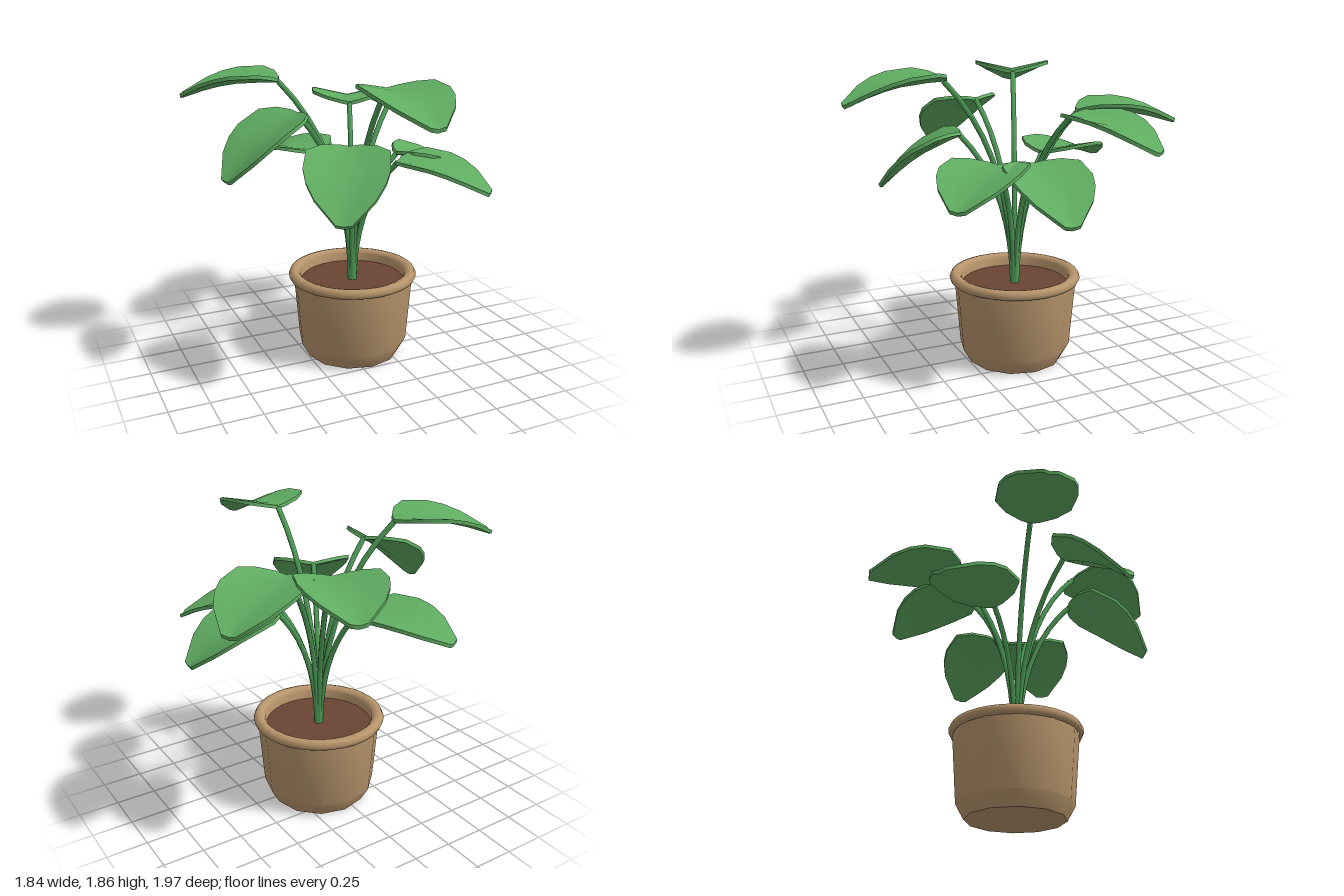
import * as THREE from 'three';
import { toCreasedNormals } from 'three/addons/utils/BufferGeometryUtils.js';

const material = (name, color) => {
  const m = new THREE.MeshStandardMaterial({ color });
  m.name = name;
  return m;
};

function addMesh(parent, name, geometry, mat) {
  const mesh = new THREE.Mesh(geometry, mat);
  mesh.name = name;
  parent.add(mesh);
  return mesh;
}

const lathe = (pts, sides) =>
  new THREE.LatheGeometry(pts.map(([r, y]) => new THREE.Vector2(r, y)), sides);

// Broad leaf lofted along +z: folded up along the midrib and gently arched.
const LEAF_LENGTH = 0.6;
function leafGeometry() {
  const rows = [[0, 0.06], [0.03, 0.16], [0.1, 0.24], [0.26, 0.245], [0.36, 0.22], [0.46, 0.17], [0.6, 0.045]];
  const across = [-1, -0.5, 0, 0.5, 1];
  const n = across.length * 2;
  const pos = [], idx = [];
  for (const [z, half] of rows) {
    const arch = 0.035 * Math.sin((Math.PI * z) / LEAF_LENGTH);
    const point = (u, drop) => {
      const x = u * half;
      pos.push(x, arch + 0.22 * Math.abs(x) - drop, z);
    };
    across.forEach((u) => point(u, 0));
    [...across].reverse().forEach((u) => point(u, 0.022));
  }
  for (let i = 0; i < rows.length - 1; i++) {
    for (let j = 0; j < n; j++) {
      const a = i * n + j, d = i * n + ((j + 1) % n);
      idx.push(a, a + n, d + n, a, d + n, d);
    }
  }
  // End caps, as strips between the upper and lower points
  const end = (rows.length - 1) * n;
  for (let j = 0; j < across.length - 1; j++) {
    const k = n - 1 - j;
    idx.push(j, j + 1, k - 1, j, k - 1, k);
    idx.push(end + j, end + k - 1, end + j + 1, end + j, end + k, end + k - 1);
  }
  const g = new THREE.BufferGeometry();
  g.setAttribute('position', new THREE.Float32BufferAttribute(pos, 3));
  g.setIndex(idx);
  return toCreasedNormals(g, 0.9);
}

export function createModel() {
  const clay = material('clay', 0xb8956c);
  const earth = material('soil', 0x6b4433);
  const leafGreen = material('leaf green', 0x60ad62);
  const stemGreen = material('stem green', 0x4f9f58);

  const plant = new THREE.Group();
  plant.name = 'pottedPlant';
  const cx = 0.063, cz = -0.062;

  // Pot with a bevelled foot, rolled rim and soil
  const pot = new THREE.Group();
  pot.name = 'pot';
  pot.position.set(cx, 0, cz);
  plant.add(pot);
  const body = lathe([[0, 0], [0.305, 0], [0.355, 0.09], [0.39, 0.53]], 12);
  addMesh(pot, 'potBody', toCreasedNormals(body, 0.6), clay);
  const rim = lathe([
    [0.385, 0.515], [0.405, 0.522], [0.415, 0.545], [0.403, 0.57], [0.38, 0.577],
    [0.355, 0.57], [0.338, 0.55], [0.333, 0.48],
  ], 32);
  addMesh(pot, 'potRim', rim, clay);
  const soil = addMesh(pot, 'soil', new THREE.CircleGeometry(0.345, 32), earth);
  soil.rotation.x = -Math.PI / 2;
  soil.position.y = 0.5;

  // Each leaf: stem end x, y, z and the height of the leaf tip
  const leaves = [
    [0.06, 1.81, 0.4, 1.68],
    [0.27, 1.32, 0.15, 1.17],
    [0.36, 1.33, -0.04, 1.08],
    [0.4, 1.6, -0.25, 1.44],
    [0.2, 1.6, -0.41, 1.54],
    [-0.06, 1.31, -0.31, 1.23],
    [-0.35, 1.8, -0.24, 1.71],
    [-0.33, 1.64, 0.03, 1.3],
    [-0.095, 1.46, 0.24, 1.13],
  ];
  const blade = leafGeometry();
  leaves.forEach(([x, y, z, tipY], i) => {
    const heading = Math.atan2(x - cx, z - cz);
    const dx = Math.sin(heading), dz = Math.cos(heading);

    // Stem rises almost straight, then leans outwards
    const curve = new THREE.QuadraticBezierCurve3(
      new THREE.Vector3(cx + dx * 0.012, 0.48, cz + dz * 0.012),
      new THREE.Vector3(cx + dx * 0.02, 0.5 + 0.65 * (y - 0.5), cz + dz * 0.02),
      new THREE.Vector3(x, y - 0.015, z),
    );
    addMesh(plant, `stem${i + 1}`, new THREE.TubeGeometry(curve, 10, 0.017, 7), stemGreen);

    const leaf = addMesh(plant, `leaf${i + 1}`, blade, leafGreen);
    leaf.position.set(x, y, z);
    leaf.rotation.order = 'YXZ';
    leaf.rotation.set(Math.asin((y - tipY) / LEAF_LENGTH), heading, 0);
  });
  return plant;
}
